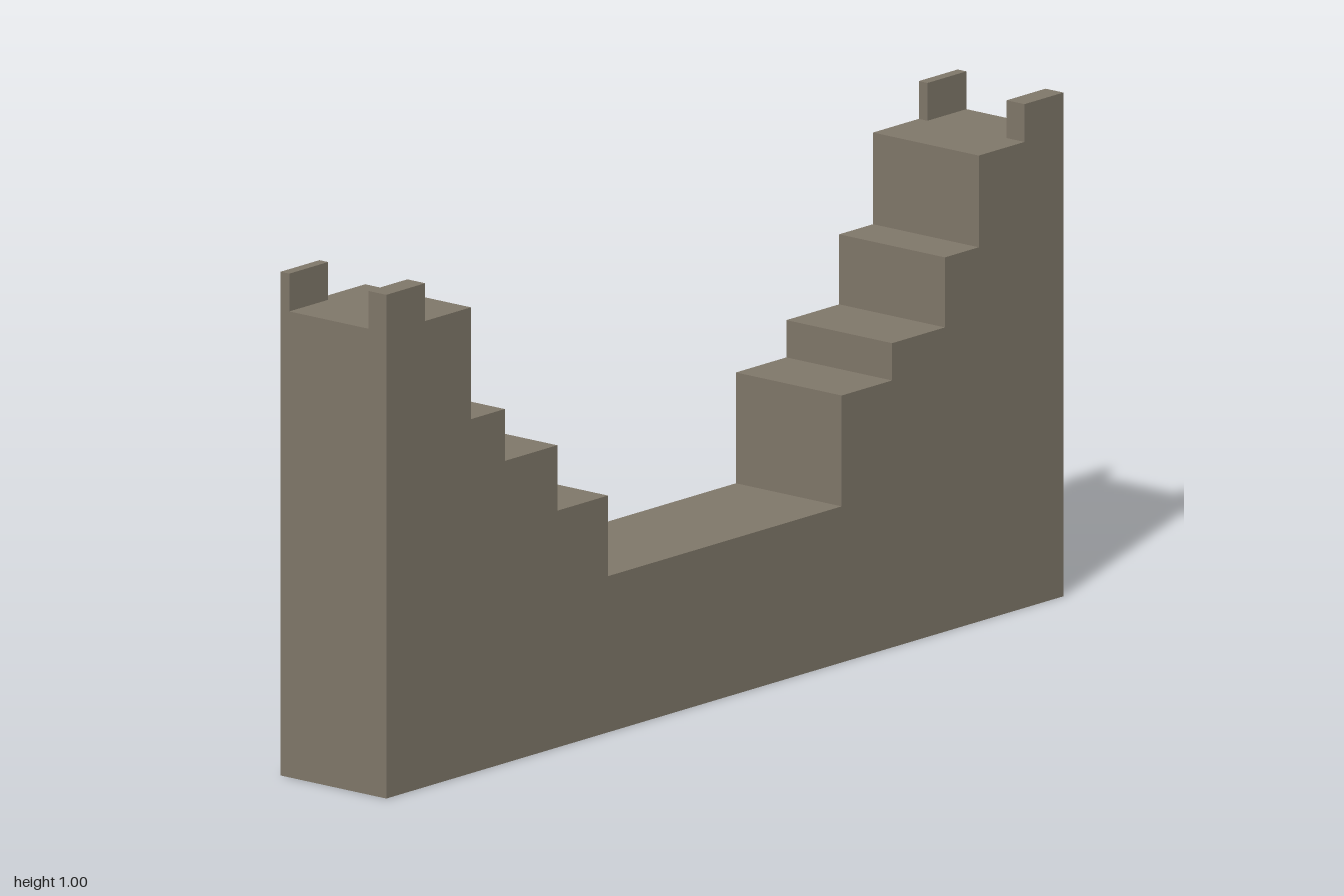
import * as THREE from 'three';

const stone = new THREE.MeshStandardMaterial({ color: 0x80786a, side: THREE.DoubleSide });
stone.name = 'weathered stone';

// Box spanning two corners; `open` lists the faces left out (3 = bottom, 4 = +z side)
function block(name, x0, x1, y0, y1, z0, z1, open = []) {
  const geo = new THREE.BoxGeometry(x1 - x0, y1 - y0, z1 - z0);
  const index = Array.from(geo.index.array);
  geo.setIndex(index.filter((_, i) => !open.includes(Math.floor(i / 6))));
  geo.clearGroups();
  const mesh = new THREE.Mesh(geo, stone);
  mesh.position.set((x0 + x1) / 2, (y0 + y1) / 2, (z0 + z1) / 2);
  mesh.name = name;
  return mesh;
}

export function createModel() {
  const model = new THREE.Group();
  model.name = 'ruinedWall';
  const back = 0.143, front = 0.41, towerTop = 0.925;

  // Broken wall: hollow columns, open underneath, stepping down to the middle
  const wall = new THREE.Group();
  wall.name = 'wall';
  const edges = [-1, -0.75, -0.65, -0.495, -0.345, 0.345, 0.494, 0.65, 0.75, 1];
  const heights = [towerTop, 0.703, 0.6, 0.47, 0.31, 0.53, 0.604, 0.743, towerTop];
  heights.forEach((h, i) =>
    wall.add(block('wallColumn' + (i + 1), edges[i], edges[i + 1], 0, h, back, front, [3])));
  model.add(wall);

  // Battlements on the corners of both ends
  const battlements = new THREE.Group();
  battlements.name = 'battlements';
  for (const [side, x0, x1] of [['right', -1, -0.885], ['left', 0.885, 1]]) {
    battlements.add(block(side + 'FrontMerlon', x0, x1, towerTop, 1, 0.365, front, [3]));
    battlements.add(block(side + 'BackMerlon', x0, x1, towerTop, 1, back, 0.165, [3]));
  }
  model.add(battlements);

  // Staircase behind the wall: hollow steps down to ground level
  const stairs = new THREE.Group();
  stairs.name = 'stairs';
  const steps = 16, depth = (back + 0.41) / steps, rise = 0.29 / (steps - 1);
  for (let i = 0; i < steps; i++) {
    const z = back - i * depth;
    const h = Math.max(0.002, 0.29 - i * rise);
    stairs.add(block('step' + (i + 1), -0.298, 0.298, 0, h, z - depth, z, [3, 4]));
  }
  model.add(stairs);

  return model;
}
